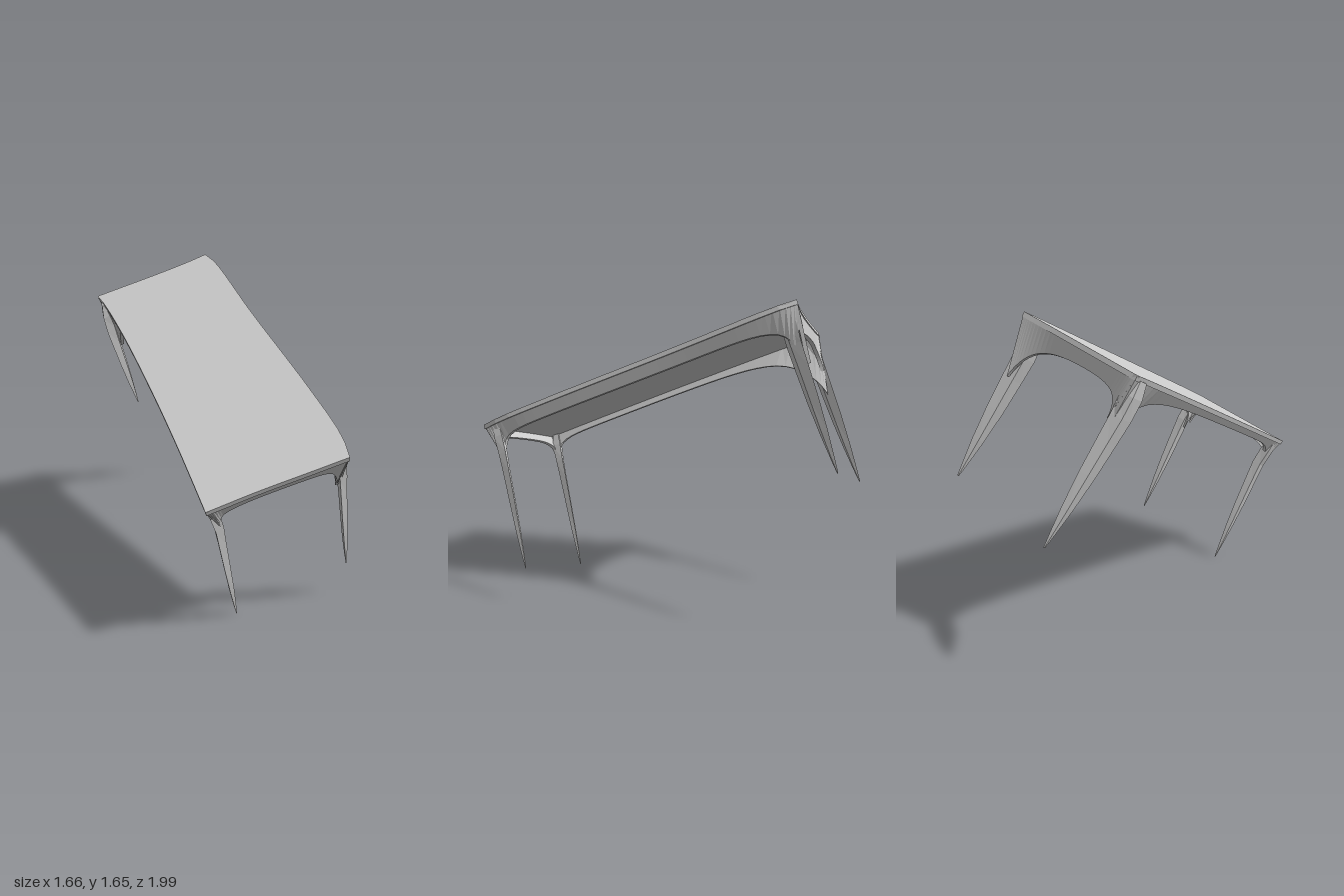
import * as THREE from 'three';

const material = new THREE.MeshStandardMaterial({
  color: 0xcccccc, flatShading: true, side: THREE.DoubleSide,
});

// Outline of the top, edge by edge, as [x, z] points
const edges = {
  front: [[-0.35, 0.905], [-0.1, 0.908], [0.15, 0.92], [0.33, 0.928]],
  left: [[0.33, 0.928], [0.359, 0.8], [0.37, 0.45], [0.364, -0.25], [0.367, -0.84], [0.347, -0.932]],
  back: [[0.347, -0.932], [0.25, -0.92], [0.05, -0.908], [-0.352, -0.9]],
  right: [[-0.352, -0.9], [-0.338, -0.8], [-0.322, -0.45], [-0.322, 0.1], [-0.332, 0.5], [-0.35, 0.905]],
};
const edgeCurve = (points) => new THREE.CatmullRomCurve3(
  points.map(([x, z]) => new THREE.Vector3(x, 0, z)), false, 'centripetal');

// Skin a series of four-cornered rings, closed at both ends
function loft(rings, name) {
  const pos = rings.flat(2), index = [];
  const last = (rings.length - 1) * 4;
  for (let i = 0; i < rings.length - 1; i++) {
    for (let j = 0; j < 4; j++) {
      const a = i * 4 + j, b = i * 4 + (j + 1) % 4;
      index.push(a, b, a + 4, b, b + 4, a + 4);
    }
  }
  index.push(0, 2, 1, 0, 3, 2, last, last + 1, last + 2, last, last + 2, last + 3);
  const geo = new THREE.BufferGeometry();
  geo.setAttribute('position', new THREE.Float32BufferAttribute(pos, 3));
  geo.setIndex(index);
  geo.computeVertexNormals();
  const mesh = new THREE.Mesh(geo, material);
  mesh.name = name;
  return mesh;
}

// Thin top following the outline
function makeTop() {
  const points = Object.values(edges).flatMap((e) => edgeCurve(e).getSpacedPoints(20).slice(0, -1));
  const shape = new THREE.Shape(points.map((p) => new THREE.Vector2(p.x, p.z)));
  const geo = new THREE.ExtrudeGeometry(shape, { depth: 0.025, bevelEnabled: false });
  geo.rotateX(Math.PI / 2);
  const mesh = new THREE.Mesh(geo, material);
  mesh.name = 'tableTop';
  return mesh;
}

// Apron along one edge, leaning in; its lower edge sweeps down into the legs.
// The gussets at the start and end of the edge are [reach, drop]
function makeApron(points, base, lean, [startGusset, endGusset], name) {
  const curve = edgeCurve(points), length = curve.getLength();
  const rings = [], steps = 36, thick = 0.02;
  for (let i = 0; i <= steps; i++) {
    const u = (1 - Math.cos((i / steps) * Math.PI)) / 2;
    const p = curve.getPointAt(u), t = curve.getTangentAt(u);
    const inward = new THREE.Vector3(t.z, 0, -t.x);
    const start = Math.exp(-u * length / startGusset[0]);
    const end = Math.exp(-(1 - u) * length / endGusset[0]);
    const depth = base + startGusset[1] * start + endGusset[1] * end;
    const low = p.clone().addScaledVector(inward, lean * Math.min(depth, 0.11))
      .addScaledVector(t, 0.055 * (start - end)).setY(-depth);
    const lowIn = low.clone().addScaledVector(inward, thick);
    const topIn = p.clone().addScaledVector(inward, thick);
    p.y = topIn.y = -0.003;
    rings.push([p, low, lowIn, topIn].map((v) => v.toArray()));
  }
  return loft(rings, name);
}

// Blade-like leg tapering to a point; corner, knee and tip are [x, z]
function makeLeg(corner, knee, tip, length, girth, name) {
  const sections = [ // fraction of length, half width x, half width z
    [0.02, 0.022, 0.03], [0.11, 0.03, 0.042], [0.23, 0.025, 0.04],
    [0.37, 0.021, 0.037], [0.56, 0.018, 0.032], [0.76, 0.014, 0.022], [0.92, 0.007, 0.01], [1, 0.002, 0.003],
  ];
  const rings = sections.map(([f, rx, rz]) => {
    const upper = f < 0.23;
    const k = upper ? Math.sqrt(f / 0.23) : (f - 0.23) / 0.77;
    const from = upper ? corner.map((v) => v * 0.93) : knee;
    const to = upper ? knee : tip;
    const x = THREE.MathUtils.lerp(from[0], to[0], k);
    const z = THREE.MathUtils.lerp(from[1], to[1], k);
    const y = -f * length, d = rz * girth;
    return [[x + rx, y, z], [x, y, z + d], [x - rx, y, z], [x, y, z - d]];
  });
  return loft(rings, name);
}

export function createModel() {
  const model = new THREE.Group();
  model.name = 'table';

  // The whole table leans forward
  const tilted = new THREE.Group();
  tilted.name = 'tiltedTable';
  tilted.rotation.x = 0.507;
  tilted.position.set(0, 1.187, 0.18);
  model.add(tilted);

  // Top and aprons, turned diagonally
  const body = new THREE.Group();
  body.name = 'topAndAprons';
  body.rotation.y = 0.663;
  body.add(
    makeTop(),
    makeApron(edges.front, 0.07, 0.3, [[0.05, 0.12], [0.05, 0.12]], 'frontApron'),
    makeApron(edges.left, 0.085, 0.4, [[0.06, 0.15], [0.09, 0.16]], 'leftApron'),
    makeApron(edges.back, 0.085, 0.25, [[0.1, 0.22], [0.06, 0.14]], 'backApron'),
    makeApron(edges.right, 0.06, 0.3, [[0.15, 0.3], [0.06, 0.13]], 'rightApron'),
  );
  tilted.add(body);

  // Legs
  tilted.add(
    makeLeg([0.83, 0.525], [0.778, 0.478], [0.782, 0.531], 0.835, 1, 'frontLeftLeg'),
    makeLeg([0.28, 0.927], [0.288, 0.857], [0.294, 0.917], 0.848, 1, 'frontRightLeg'),
    makeLeg([-0.30, -0.938], [-0.288, -0.85], [-0.28, -0.877], 0.85, 1.35, 'backLeftLeg'),
    makeLeg([-0.83, -0.492], [-0.785, -0.455], [-0.785, -0.488], 0.866, 1.3, 'backRightLeg'),
  );
  return model;
}
